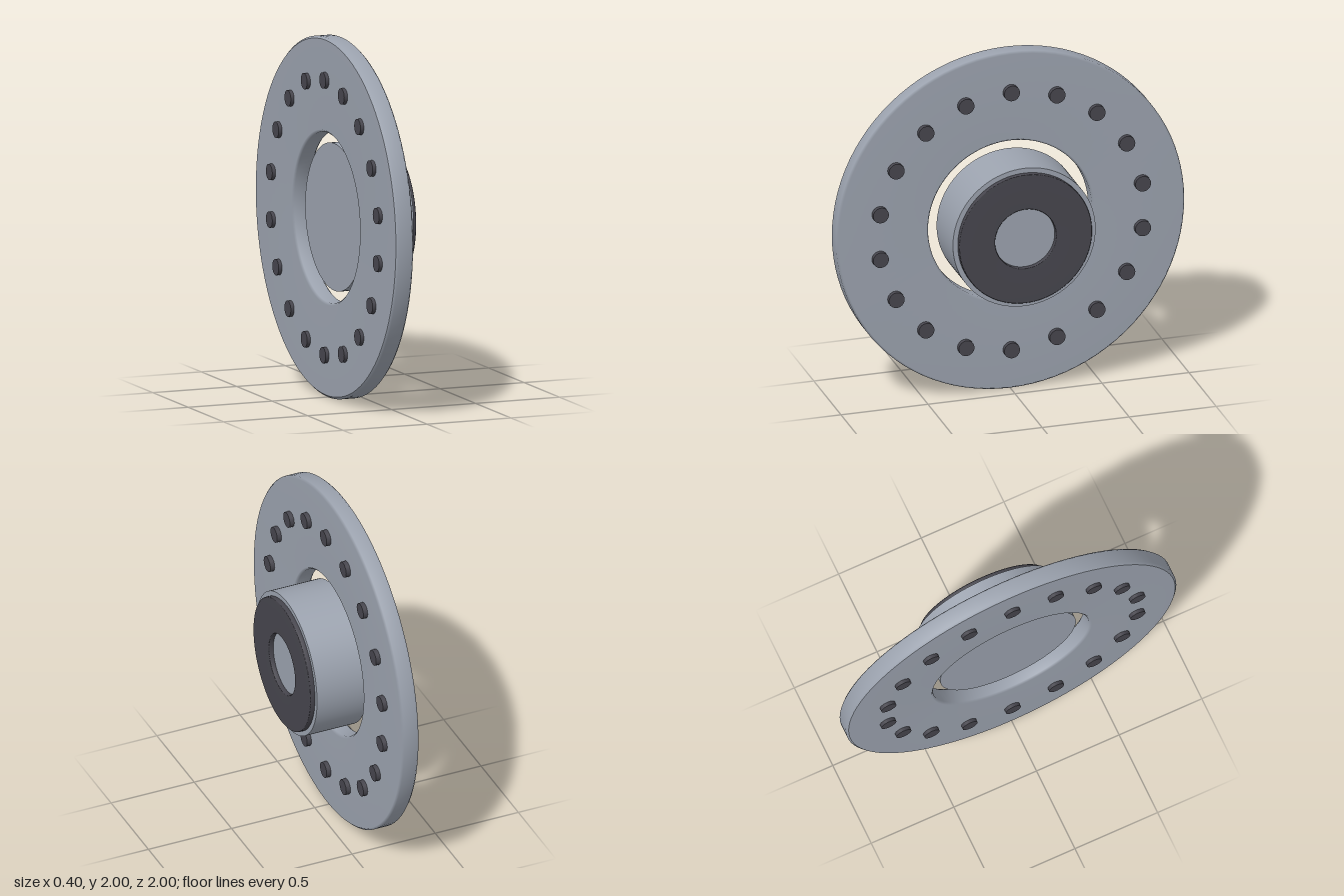
import * as THREE from 'three';

export function createModel() {
  const model = new THREE.Group();
  model.name = 'brakeDisc';

  const steel = new THREE.MeshStandardMaterial({ color: 0x9ca3af });
  steel.name = 'steelGrey';
  const dark = new THREE.MeshStandardMaterial({ color: 0x47464e });
  dark.name = 'darkGrey';

  // Turned part around the x axis; profile is [radius, x] pairs
  const turn = (name, profile, material) => {
    const points = profile.map(([r, x]) => new THREE.Vector2(r, x));
    const geometry = new THREE.LatheGeometry(points, 96);
    geometry.rotateZ(-Math.PI / 2);
    const mesh = new THREE.Mesh(geometry, material);
    mesh.name = name;
    model.add(mesh);
  };

  // Closed ring profile with small chamfers
  const ring = (inner, outer, x0, x1, b) => [
    [outer - b, x0], [outer, x0 + b], [outer, x1 - b], [outer - b, x1],
    [inner + b, x1], [inner, x1 - b], [inner, x0 + b], [inner + b, x0], [outer - b, x0],
  ];

  // Rotor plate with its wide centre opening
  turn('rotorPlate', ring(0.472, 1, -0.18, -0.078, 0.012), steel);

  // Solid centre hub, floating inside the opening
  const hub = new THREE.CylinderGeometry(0.41, 0.41, 0.3, 96);
  hub.rotateZ(-Math.PI / 2);
  const hubMesh = new THREE.Mesh(hub, steel);
  hubMesh.name = 'hub';
  hubMesh.position.x = 0.02;
  model.add(hubMesh);

  // Dark ring on the hub face
  turn('hubRing', ring(0.175, 0.382, 0.165, 0.198, 0.004), dark);

  // Studs passing through the plate
  const studs = new THREE.Group();
  studs.name = 'studs';
  const studGeometry = new THREE.CylinderGeometry(0.045, 0.045, 0.148, 32);
  studGeometry.rotateZ(-Math.PI / 2);
  const count = 18;
  for (let i = 0; i < count; i++) {
    const a = (i / count) * Math.PI * 2;
    const stud = new THREE.Mesh(studGeometry, dark);
    stud.name = 'stud';
    stud.position.set(-0.126, Math.cos(a) * 0.765, Math.sin(a) * 0.765);
    studs.add(stud);
  }
  model.add(studs);

  // Stand the disc on the ground
  model.children.forEach((part) => { part.position.y = 1; });
  return model;
}
